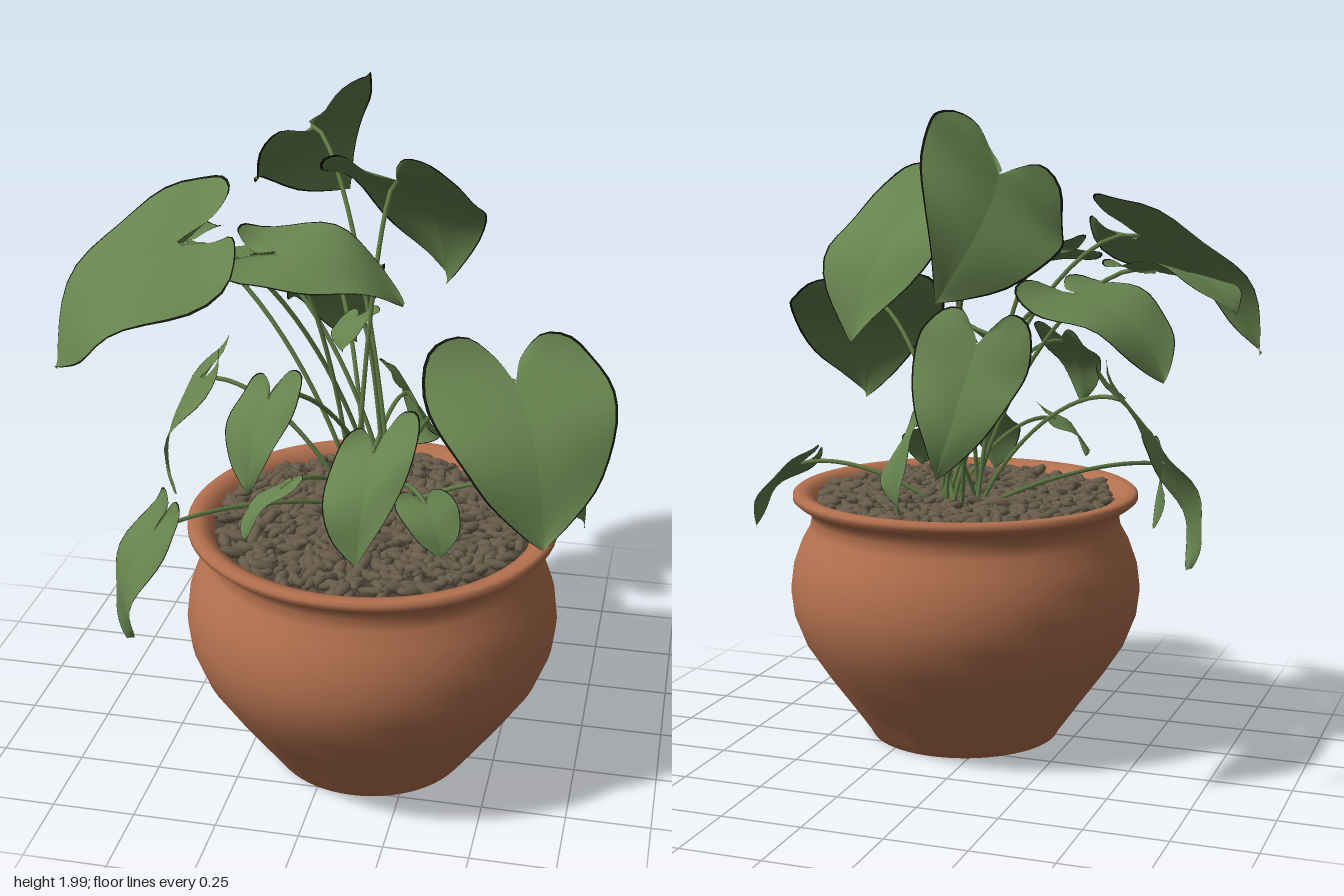
import * as THREE from 'three';
import { mergeGeometries, mergeVertices } from 'three/addons/utils/BufferGeometryUtils.js';

const mat = (name, color, side = THREE.FrontSide) => {
  const m = new THREE.MeshStandardMaterial({ color, side });
  m.name = name;
  return m;
};

const POT = new THREE.Vector3(0.11, 0, 0.22);

// Half outline of a heart-shaped blade: x across, y from stalk notch to tip
const outline = new THREE.SplineCurve([
  [0, 0], [0.16, -0.18], [0.46, -0.32], [0.84, -0.25], [1, 0.03],
  [0.92, 0.36], [0.64, 0.68], [0.24, 0.9], [0, 1],
].map(([x, y]) => new THREE.Vector2(x, y)));

// Blade spanned by its base, its tip and the vector to its widest side;
// group 0 is the green surface, group 1 the thin dark margin
function bladeGeometry(base, tip, side, phase) {
  const along = tip.clone().sub(base);
  const len = along.length();
  const normal = new THREE.Vector3().crossVectors(side, along).normalize();
  if (normal.y < 0) normal.negate();
  const steps = [0, 0.2, 0.4, 0.6, 0.8, 0.97, 1];
  const N = 26, K = steps.length - 1, pos = [], surface = [], margin = [];
  for (const s of [-1, 1]) {
    const start = pos.length / 3;
    for (let i = 0; i <= N; i++) {
      const t = i / N, edge = outline.getPoint(t);
      for (let k = 0; k <= K; k++) {
        const f = steps[k];
        const v = edge.x * f * s;
        const u = THREE.MathUtils.lerp(t * t, edge.y, f);
        const h = len * (0.15 * Math.sin(Math.PI * Math.max(u, -0.2)) - 0.06 * v * v
          + 0.05 * Math.abs(v) + 0.035 * f * f * Math.sin(u * 8 + s * 1.5 + phase));
        const p = base.clone().addScaledVector(along, u).addScaledVector(side, v).addScaledVector(normal, h);
        pos.push(p.x, p.y, p.z);
        if (i < N && k < K) {
          const a = start + i * (K + 1) + k, b = a + K + 1;
          const idx = k === K - 1 ? margin : surface;
          if (s > 0) idx.push(a, b, a + 1, b, b + 1, a + 1);
          else idx.push(a, a + 1, b, b, a + 1, b + 1);
        }
      }
    }
  }
  const g = new THREE.BufferGeometry();
  g.setAttribute('position', new THREE.Float32BufferAttribute(pos, 3));
  g.setIndex([...surface, ...margin]);
  g.addGroup(0, surface.length, 0);
  g.addGroup(surface.length, margin.length, 1);
  g.computeVertexNormals();
  return g;
}

// Stalk that rises from the crown and arches over to the blade
function stalkGeometry(base, index) {
  const a = index * 2.4;
  const root = new THREE.Vector3(0.09 + 0.06 * Math.cos(a), 0.75, 0.12 + 0.07 * Math.sin(a));
  const rise = base.y - root.y;
  const c1 = root.clone().lerp(base, 0.15).setY(root.y + rise * 0.5);
  const c2 = root.clone().lerp(base, 0.65).setY(base.y + 0.05);
  const curve = new THREE.CubicBezierCurve3(root, c1, c2, base);
  return new THREE.TubeGeometry(curve, 18, 0.007, 6, false);
}

function potGeometry() {
  const profile = [
    [0, 0.02], [0.26, 0.02], [0.275, 0], [0.3, 0], [0.33, 0.04], [0.38, 0.11], [0.45, 0.21],
    [0.515, 0.31], [0.55, 0.4], [0.56, 0.48], [0.55, 0.56], [0.525, 0.63], [0.497, 0.68],
    [0.49, 0.715], [0.505, 0.745], [0.535, 0.762], [0.55, 0.775], [0.55, 0.79], [0.54, 0.799],
    [0.515, 0.798], [0.485, 0.785], [0.47, 0.75], [0.46, 0.7],
  ].map(([x, y]) => new THREE.Vector2(x, y));
  const lathe = new THREE.LatheGeometry(profile, 64);
  lathe.deleteAttribute('uv');
  lathe.deleteAttribute('normal');
  const g = mergeVertices(lathe, 1e-5);
  // Shallow flutes that fade out above the foot
  const p = g.attributes.position;
  for (let i = 0; i < p.count; i++) {
    const x = p.getX(i), y = p.getY(i), z = p.getZ(i);
    const fade = y > 0.01 && y < 0.22 && Math.hypot(x, z) > 0.3 ? 1 - y / 0.22 : 0;
    const k = 1 - 0.07 * fade * Math.pow(Math.abs(Math.cos(Math.atan2(z, x) * 5)), 8);
    p.setXYZ(i, x * k, y, z * k);
  }
  g.computeVertexNormals();
  return g;
}

// Elongated pebbles scattered evenly over the soil
function pebbleGeometry() {
  let seed = 7;
  const rnd = () => (seed = (seed * 16807) % 2147483647) / 2147483647;
  const unit = new THREE.SphereGeometry(1, 8, 6);
  const parts = [], m = new THREE.Matrix4(), q = new THREE.Quaternion();
  const count = 850;
  for (let i = 0; i < count; i++) {
    const r = 0.46 * Math.sqrt((i + 0.5) / count), a = i * 2.39996 + rnd() * 0.2;
    q.setFromEuler(new THREE.Euler(rnd() - 0.5, rnd() * Math.PI * 2, rnd() * 0.8 - 0.4));
    const s = 0.85 + rnd() * 0.4;
    m.compose(new THREE.Vector3(r * Math.cos(a), 0.765 + rnd() * 0.02, r * Math.sin(a)), q,
      new THREE.Vector3(0.033 * s, 0.013 * s, 0.016 * s));
    parts.push(unit.clone().applyMatrix4(m));
  }
  return mergeGeometries(parts);
}

export function createModel() {
  const clay = mat('terracotta', 0xb4714f, THREE.DoubleSide);
  const stone = mat('pebbleBrown', 0x685c4a);
  const earth = mat('soilBrown', 0x4a4136);
  const green = mat('leafGreen', 0x66834e, THREE.DoubleSide);
  const dark = mat('leafMarginBlack', 0x10140c, THREE.DoubleSide);
  const stem = mat('stalkGreen', 0x617d46);

  const model = new THREE.Group();
  model.name = 'pottedPlant';
  const add = (name, geometry, material, parent = model) => {
    const mesh = new THREE.Mesh(geometry, material);
    mesh.name = name;
    parent.add(mesh);
    return mesh;
  };

  // Pot and its filling
  add('pot', potGeometry(), clay).position.copy(POT);
  add('soil', new THREE.CylinderGeometry(0.47, 0.46, 0.04, 48), earth).position.set(POT.x, 0.74, POT.z);
  add('pebbles', pebbleGeometry(), stone).position.copy(POT);

  // Leaves: base, tip and half-width vector
  let n = 0;
  const leaf = (name, base, tip, side) => {
    const [b, t, s] = [base, tip, side].map((v) => new THREE.Vector3(...v));
    const group = new THREE.Group();
    group.name = name;
    add('blade', bladeGeometry(b, t, s, n * 1.7), [green, dark], group);
    add('stalk', stalkGeometry(b, n), stem, group);
    model.add(group);
    n++;
  };

  // Tall leaves
  leaf('topBackLeaf', [-0.2, 1.81, -0.36], [-0.17, 1.49, -0.77], [0.175, 0.15, -0.08]);
  leaf('tallCentreLeaf', [0.11, 1.72, -0.13], [0.22, 1.32, -0.42], [0.21, 0.0, 0.06]);
  leaf('largeLeftLeaf', [-0.44, 1.61, 0.26], [-0.8, 1.25, 0.37], [0.1, -0.09, 0.26]);
  leaf('largeRightLeaf', [0.55, 1.36, 0.47], [0.67, 1.0, 0.73], [0.235, 0.0, -0.11]);
  leaf('frontCentreLeaf', [-0.19, 1.57, 0.17], [0.18, 1.43, 0.13], [0.0, -0.05, 0.16]);

  // Middle leaves
  leaf('backLeftLeaf', [-0.37, 1.46, -0.15], [-0.65, 1.24, -0.24], [0.08, -0.02, -0.2]);
  leaf('farLeftLeaf', [-0.57, 1.53, -0.04], [-0.83, 1.42, -0.16], [0.08, 0.03, -0.12]);
  leaf('backHangingLeaf', [-0.12, 1.33, -0.32], [-0.12, 1.0, -0.65], [0.15, 0.04, -0.05]);
  leaf('frontSmallLeaf', [-0.14, 1.25, 0.47], [-0.16, 1.03, 0.62], [0.095, 0.02, 0.01]);
  leaf('leftHangingLeaf', [-0.44, 1.13, 0.08], [-0.54, 0.74, 0.1], [0.03, 0, 0.12]);
  leaf('innerLeaf', [0.02, 1.34, 0.01], [0.0, 1.27, 0.13], [0.06, 0.02, 0.01]);

  // Low leaves around the rim
  leaf('lowFrontLeaf', [0.14, 1.06, 0.36], [0.13, 0.8, 0.56], [0.125, 0.05, -0.04]);
  leaf('lowLeftLeaf', [-0.46, 0.85, 0.56], [-0.54, 0.5, 0.58], [0.07, 0, 0.075]);
  leaf('lowRightLeaf', [0.62, 0.87, 0.08], [0.72, 0.68, -0.05], [0.02, -0.03, 0.09]);
  leaf('lowBackLeaf', [0.15, 1.05, -0.12], [0.13, 0.81, -0.28], [-0.08, 0.06, -0.09]);
  leaf('tinyRightLeaf', [0.3, 0.93, 0.4], [0.36, 0.81, 0.48], [0.08, 0, -0.04]);
  leaf('tinyLeftLeaf', [-0.1, 0.99, 0.5], [-0.19, 0.86, 0.57], [0.05, 0.03, 0.05]);

  return model;
}
